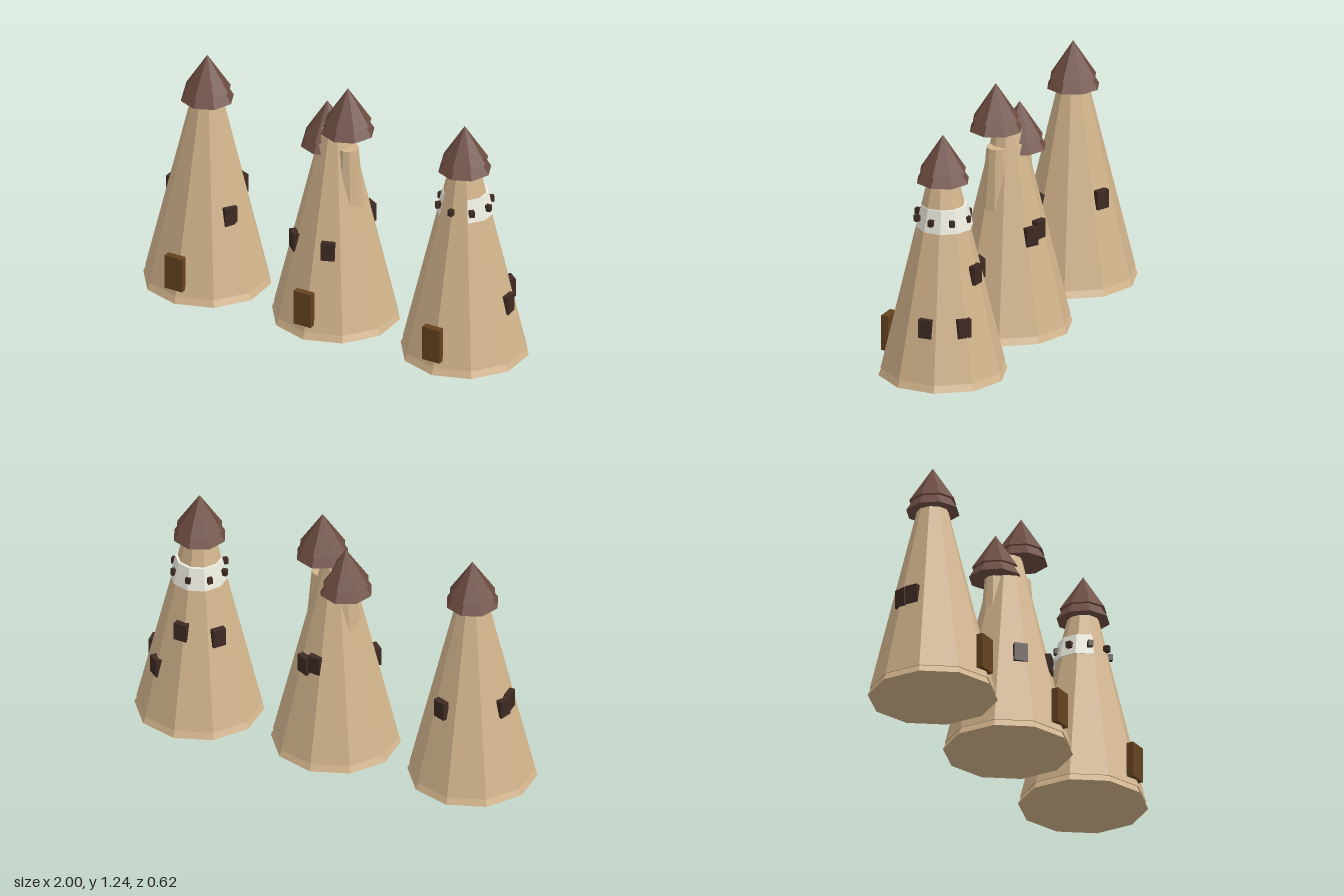
import * as THREE from 'three';

const paint = (color) => new THREE.MeshStandardMaterial({ color, flatShading: true });

export function createModel() {
  const model = new THREE.Group();
  const stone = paint(0xd2b48c), tile = paint(0x6d4c41), dark = paint(0x3e2a23);
  const wood = paint(0x65431f), plaster = paint(0xecece0);

  const add = (parent, name, geometry, material, x, y, z) => {
    const mesh = new THREE.Mesh(geometry, material);
    mesh.name = name;
    mesh.position.set(x, y, z);
    parent.add(mesh);
    return mesh;
  };

  // Tapered faceted drum between two heights
  const drum = (parent, name, material, rBottom, rTop, y0, y1, sides, x = 0, z = 0) =>
    add(parent, name, new THREE.CylinderGeometry(rTop, rBottom, y1 - y0, sides),
      material, x, (y0 + y1) / 2, z);

  // Two-tier octagonal roof with its eave at height y
  const roof = (parent, x, y, z) => {
    const group = new THREE.Group();
    group.name = 'roof';
    group.position.set(x, y, z);
    drum(group, 'lowerRoofTier', tile, 0.13, 0.09, 0, 0.065, 8);
    drum(group, 'upperRoofTier', tile, 0.115, 0, 0.053, 0.23, 8);
    parent.add(group);
  };

  // Box facing straight out from the tower axis
  const facing = (parent, name, x, y, z, w, h, d) => {
    add(parent, name, new THREE.BoxGeometry(w, h, d), dark, x, y, z).rotation.y = Math.atan2(x, z);
  };

  // Window positions per tower, relative to its axis: [x, y, z]
  const towers = [
    { name: 'rightTower', x: -0.705, windows: [
      [-0.19, 0.46, 0.0], [-0.187, 0.455, -0.06], [0.08, 0.45, -0.187], [0.175, 0.42, 0.09]] },
    { name: 'middleTower', x: 0, windows: [
      [0.03, 0.52, -0.176], [0.09, 0.5, -0.165], [-0.14, 0.425, 0.15], [0.065, 0.435, 0.185]] },
    { name: 'leftTower', x: 0.705, windows: [
      [-0.15, 0.5, -0.12], [0.015, 0.525, -0.18], [0.145, 0.295, -0.18], [0.227, 0.295, -0.02]] },
  ];

  for (const { name, x, windows } of towers) {
    const tower = new THREE.Group();
    tower.name = name;
    tower.position.x = x;
    drum(tower, 'baseSkirt', stone, 0.31, 0.292, 0, 0.04, 10);
    drum(tower, 'towerBody', stone, 0.3, 0.068, 0.035, 1.0, 10);
    add(tower, 'door', new THREE.BoxGeometry(0.095, 0.175, 0.035), wood, -0.008, 0.157, 0.288);
    for (const [wx, wy, wz] of windows) facing(tower, 'window', wx, wy, wz, 0.066, 0.092, 0.032);

    if (name === 'middleTower') {
      // Split top: two slim side turrets and two roofs of unequal height
      drum(tower, 'sideTurret', stone, 0.088, 0.05, 0.48, 0.92, 10, 0.08, 0.02);
      drum(tower, 'sideTurret', stone, 0.088, 0.05, 0.48, 0.9, 10, -0.065, -0.03);
      roof(tower, 0.08, 1.01, 0.025);
      roof(tower, -0.065, 0.88, -0.03);
    } else {
      roof(tower, 0, 0.965, 0);
    }

    if (name === 'leftTower') {
      // Pale gallery band ringed by eight small lookouts
      drum(tower, 'galleryBand', plaster, 0.138, 0.112, 0.74, 0.85, 10, 0, -0.008);
      for (let i = 0; i < 8; i++) {
        const a = (i * Math.PI) / 4;
        facing(tower, 'lookout', 0.13 * Math.sin(a), 0.79, 0.13 * Math.cos(a), 0.024, 0.03, 0.026);
      }
    }
    model.add(tower);
  }
  return model;
}
